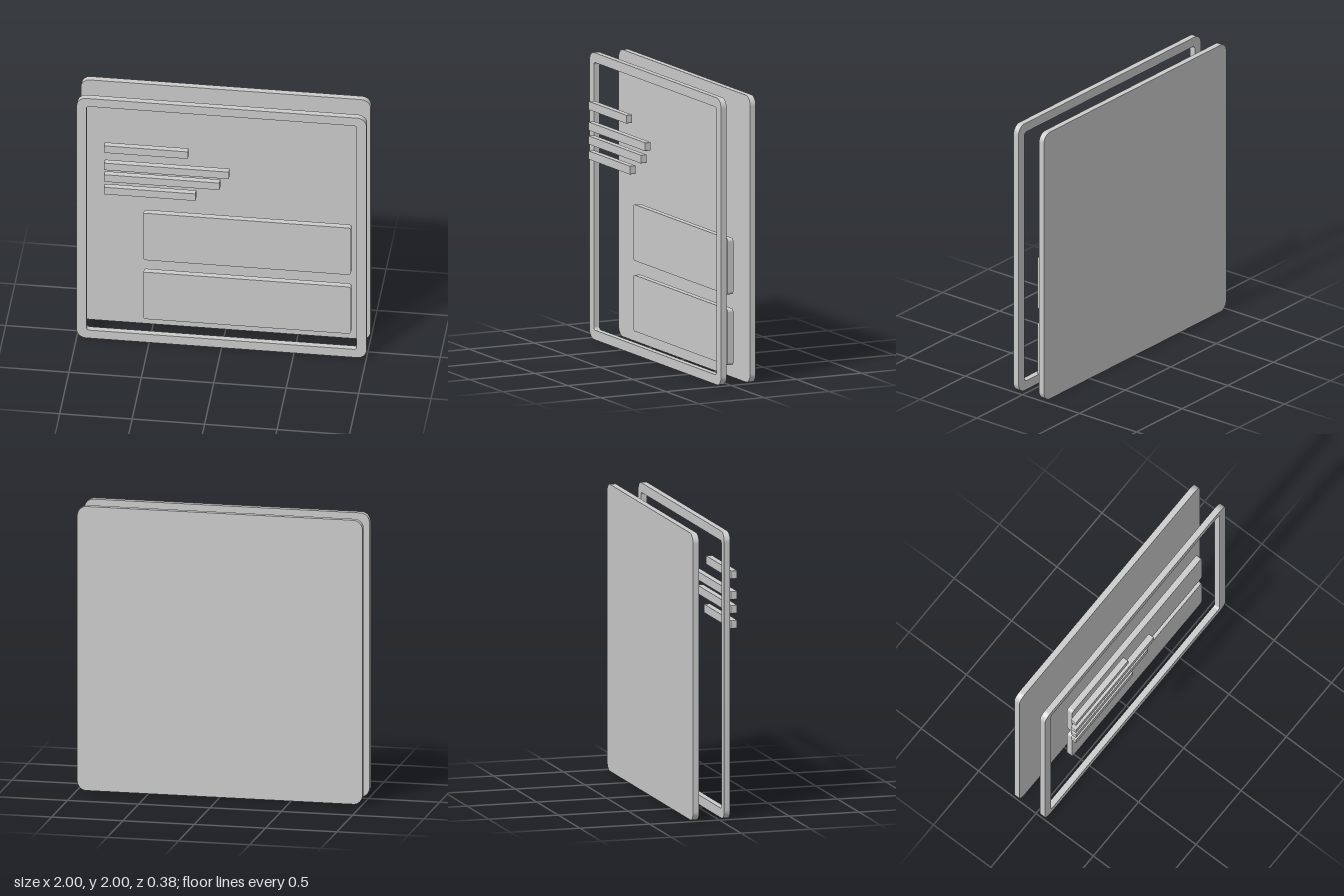
import * as THREE from 'three';

const THICK = 0.043;
const material = new THREE.MeshStandardMaterial({ color: 0xcccccc });

// Trace a rounded rectangle onto a Shape or Path
function roundedRect(path, x0, y0, x1, y1, r) {
  path.moveTo(x0 + r, y0);
  path.lineTo(x1 - r, y0);
  path.absarc(x1 - r, y0 + r, r, -Math.PI / 2, 0);
  path.lineTo(x1, y1 - r);
  path.absarc(x1 - r, y1 - r, r, 0, Math.PI / 2);
  path.lineTo(x0 + r, y1);
  path.absarc(x0 + r, y1 - r, r, Math.PI / 2, Math.PI);
  path.lineTo(x0, y0 + r);
  path.absarc(x0 + r, y0 + r, r, Math.PI, Math.PI * 1.5);
  return path;
}

// Extrude an outline into a slab centred on depth z
function slab(name, shape, z) {
  const geometry = new THREE.ExtrudeGeometry(shape, { depth: THICK, bevelEnabled: false, curveSegments: 8 });
  const mesh = new THREE.Mesh(geometry, material);
  mesh.name = name;
  mesh.position.z = z - THICK / 2;
  return mesh;
}

export function createModel() {
  const group = new THREE.Group();
  group.name = 'layeredCard';
  const outline = () => roundedRect(new THREE.Shape(), -1, 0, 1, 2, 0.065);

  // Solid back plate
  group.add(slab('backPlate', outline(), -0.167));

  // Two wide panels floating in front of the plate
  [0.115, 0.607].forEach((y, i) => {
    const shape = roundedRect(new THREE.Shape(), -0.556, y, 0.879, y + 0.391, 0.02);
    group.add(slab(`panel${i + 1}`, shape, -0.056));
  });

  // Open border frame
  const frame = outline();
  frame.holes.push(roundedRect(new THREE.Path(), -0.933, 0.067, 0.933, 1.933, 0.02));
  group.add(slab('borderFrame', frame, 0.056));

  // Foremost thin bars: right end and bottom height of each
  [[-0.218, 1.635], [0.065, 1.491], [0.001, 1.394], [-0.165, 1.289]].forEach(([end, y], i) => {
    const shape = roundedRect(new THREE.Shape(), -0.798, y, end, y + 0.058, 0.005);
    group.add(slab(`bar${i + 1}`, shape, 0.167));
  });

  return group;
}
